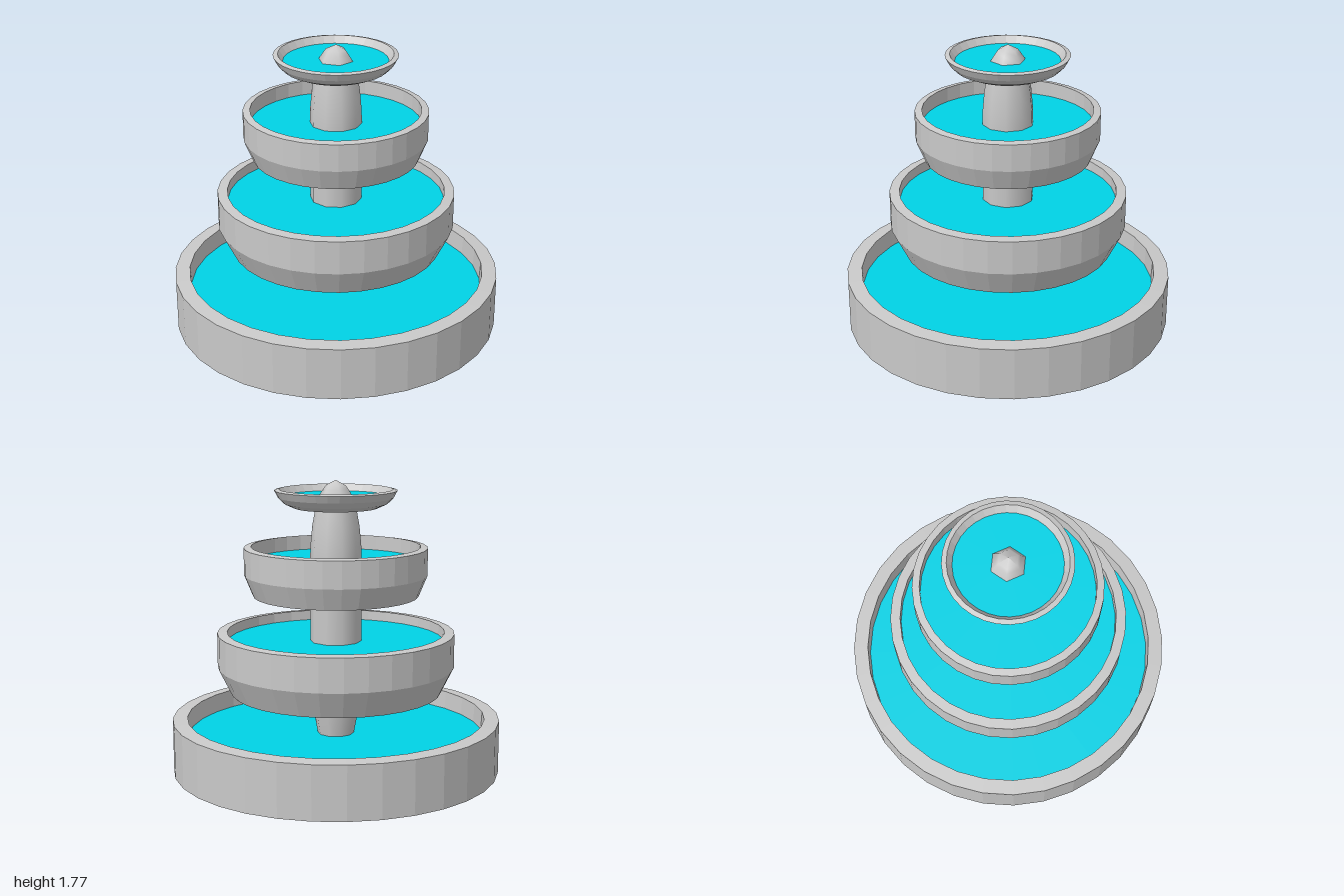
import * as THREE from 'three';

const stone = new THREE.MeshStandardMaterial({ color: 0xc9c9c9 });
const water = new THREE.MeshStandardMaterial({ color: 0x00d2e6 });
const SIDES = 32;

const lathe = (points, sides) =>
  new THREE.LatheGeometry(points.map(([r, y]) => new THREE.Vector2(r, y)), sides);

// Faceted version of a lathe: every face keeps its own normal
function facetedLathe(points, sides) {
  const geometry = lathe(points, sides).toNonIndexed();
  geometry.computeVertexNormals();
  return geometry;
}

function addMesh(parent, name, geometry, material) {
  const mesh = new THREE.Mesh(geometry, material);
  mesh.name = name;
  parent.add(mesh);
  return mesh;
}

// Each basin: outer profile from the bottom up, inner rim edge [radius, height], water radius and height
const basins = [
  { name: 'baseBasin', outer: [[1, 0], [1, 0.325]], rim: [0.91, 0.333], waterR: 0.904, waterY: 0.22 },
  { name: 'lowerBasin', outer: [[0.58, 0.482], [0.64, 0.487], [0.72, 0.65], [0.72, 0.855]], rim: [0.66, 0.861], waterR: 0.658, waterY: 0.8 },
  { name: 'middleBasin', outer: [[0.5, 1.08], [0.553, 1.21], [0.553, 1.373]], rim: [0.51, 1.38], waterR: 0.51, waterY: 1.29 },
  { name: 'topBowl', outer: [[0.17, 1.6], [0.25, 1.61], [0.31, 1.637], [0.345, 1.672], [0.368, 1.715]], rim: [0.34, 1.722], waterR: 0.31, waterY: 1.68 },
];

export function createModel() {
  const fountain = new THREE.Group();
  fountain.name = 'fountain';

  for (const { name, outer, rim, waterR, waterY } of basins) {
    const group = new THREE.Group();
    group.name = name;
    fountain.add(group);
    // Closed underside, outer wall, slightly sloped rim and inner wall
    const profile = [[0, outer[0][1]], ...outer, rim, [waterR, waterY]];
    addMesh(group, name + 'Stone', facetedLathe(profile, SIDES), stone);
    // Water surface
    const surface = addMesh(group, name + 'Water', new THREE.CircleGeometry(waterR, SIDES), water);
    surface.rotation.x = -Math.PI / 2;
    surface.position.y = waterY;
  }

  // Ten-sided column, swelling in the middle
  addMesh(fountain, 'column', lathe([
    [0.108, 0.2], [0.132, 0.33], [0.148, 0.46], [0.156, 0.7], [0.156, 1.29],
    [0.153, 1.38], [0.142, 1.5], [0.122, 1.61],
  ], 10), stone);

  // Pointed six-sided tip in the top bowl
  addMesh(fountain, 'finial', lathe([
    [0.107, 1.66], [0.105, 1.68], [0.078, 1.72], [0.06, 1.745], [0, 1.775],
  ], 6), stone);

  return fountain;
}
